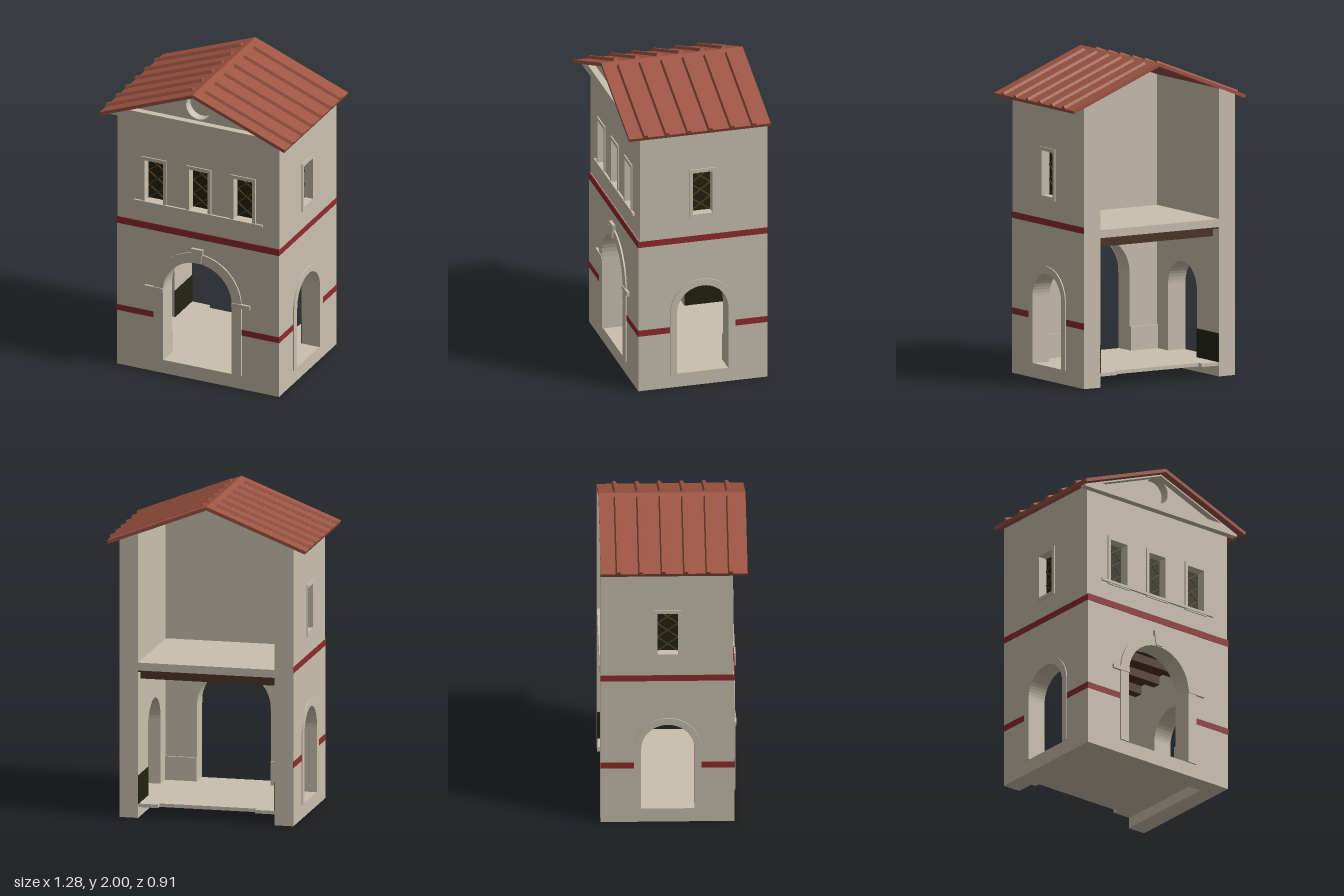
import * as THREE from 'three';

const mat = (name, color, extra = {}) => Object.assign(new THREE.MeshStandardMaterial({ color, ...extra }), { name });

export function createModel() {
  const root = new THREE.Group();
  root.name = 'gatehouse';
  const plaster = mat('plaster', 0xc9c0ae);
  const redPaint = mat('red paint', 0x8f2b2c);
  const tile = mat('roof tile', 0x9e5443, { flatShading: true });
  const dark = mat('dark glass', 0x22230f);
  const bronze = mat('lattice bronze', 0x56401f);
  const timber = mat('timber', 0x4d3324);

  const add = (name, geo, m, parent = root) => {
    const mesh = new THREE.Mesh(geo, m);
    mesh.name = name;
    parent.add(mesh);
    return mesh;
  };
  const box = (name, m, x0, x1, y0, y1, z0, z1, parent) => {
    const mesh = add(name, new THREE.BoxGeometry(x1 - x0, y1 - y0, z1 - z0), m, parent);
    mesh.position.set((x0 + x1) / 2, (y0 + y1) / 2, (z0 + z1) / 2);
    return mesh;
  };
  const V = (x, y) => new THREE.Vector2(x, y);
  const poly = (...p) => p.map(([x, y]) => V(x, y));
  const rect = (x0, x1, y0, y1) => poly([x0, y0], [x1, y0], [x1, y1], [x0, y1]);
  // Arch outline from one foot over the top to the other
  const arch = (cx, r, y0, ys) => {
    const p = [V(cx + r, y0)];
    for (let i = 0; i <= 24; i++) {
      const a = (i / 24) * Math.PI;
      p.push(V(cx + r * Math.cos(a), ys + r * Math.sin(a)));
    }
    p.push(V(cx - r, y0));
    return p;
  };
  const archBand = (cx, ri, ro, y0, ys) => [...arch(cx, ro, y0, ys), ...arch(cx, ri, y0, ys).reverse()];
  const slab = (outline, holes, depth) => {
    const s = new THREE.Shape(outline);
    holes.forEach((h) => s.holes.push(new THREE.Path(h)));
    return new THREE.ExtrudeGeometry(s, { depth, bevelEnabled: false });
  };
  // Plate facing the front, between z0 and z1
  const frontPlate = (name, m, outline, holes, z0, z1) => {
    const mesh = add(name, slab(outline, holes, z1 - z0), m);
    mesh.position.z = z0;
  };
  // Plate on a side wall, outline drawn in (z, y), between |x| = a and b
  const sidePlate = (name, m, outline, holes, a, b, s) => {
    const mesh = add(name, slab(outline, holes, b - a), m);
    mesh.rotation.y = -Math.PI / 2;
    mesh.position.x = s > 0 ? b : -a;
  };

  const W = 0.555, IN = 0.435, BACK = -0.455, FI = 0.255;
  const under = (x) => 1.974 - 0.392 * Math.abs(x);

  // Lower front wall with the main archway
  frontPlate('lowerFrontWall', plaster, rect(-W, W, 0, 1.01), [arch(0, 0.235, 0.09, 0.575)], FI, 0.375);
  frontPlate('mainArchTrim', plaster, archBand(0, 0.235, 0.3, 0.09, 0.572), [], 0.375, 0.385);
  frontPlate('keystone', plaster, poly([-0.026, 0.81], [0.026, 0.81], [0.04, 0.905], [-0.04, 0.905]), [], 0.37, 0.394);
  for (const s of [-1, 1]) {
    const [a, b] = s > 0 ? [0.235, 0.36] : [-0.36, -0.235];
    box('archImpost', plaster, a, b, 0.56, 0.586, 0.37, 0.391);
  }

  // Upper front wall and gable with window niches and a round recess
  const gable = poly([-W, 1.01], [W, 1.01], [W, under(W)], [0, under(0)], [-W, under(W)]);
  const winX = [-0.305, 0, 0.305];
  const round = [];
  for (let i = 0; i < 40; i++) {
    const a = (i / 40) * Math.PI * 2;
    round.push(V(0.086 * Math.cos(a), 1.875 + 0.086 * Math.sin(a)));
  }
  frontPlate('upperFrontWall', plaster, gable,
    [...winX.map((x) => rect(x - 0.064, x + 0.064, 1.155, 1.435)), round], 0.305, 0.365);
  frontPlate('upperFrontLining', plaster, gable, [], FI, 0.305);
  frontPlate('pedimentCornice', plaster,
    poly([-0.6, 1.724], [0.6, 1.724], [0.6, 1.739], [0, 1.974], [-0.6, 1.739]),
    [poly([-0.47, 1.778], [0.47, 1.778], [0, 1.963])], 0.365, 0.408);
  box('windowSill', plaster, -0.44, 0.44, 1.138, 1.155, 0.36, 0.379);

  // Window pane and crossed lattice, facing local +z
  const windowUnit = () => {
    const g = new THREE.Group();
    g.name = 'latticeWindow';
    box('pane', dark, -0.065, 0.065, 1.15, 1.44, -0.002, 0.004, g);
    const h = 0.28 / 3, len = Math.hypot(0.128, h) - 0.006;
    for (let i = 0; i < 3; i++) {
      for (const s of [-1, 1]) {
        const bar = add('latticeBar', new THREE.BoxGeometry(len, 0.007, 0.006), bronze, g);
        bar.position.set(0, 1.155 + h * (i + 0.5), 0.008);
        bar.rotation.z = s * Math.atan2(h, 0.128);
      }
    }
    root.add(g);
    return g;
  };
  const frame = (c) => [rect(c - 0.086, c + 0.086, 1.13, 1.458), [rect(c - 0.064, c + 0.064, 1.155, 1.435)]];
  for (const x of winX) {
    windowUnit().position.set(x, 0, 0.306);
    frontPlate('windowFrame', plaster, ...frame(x), 0.365, 0.373);
  }

  // Side walls: niche layer outside, plain lining inside
  const C = -0.038;
  const sideRect = rect(BACK, FI, 0, under(W));
  const sideArch = arch(C, 0.165, 0.09, 0.505);
  for (const s of [-1, 1]) {
    sidePlate('sideWall', plaster, sideRect, [sideArch, rect(C - 0.064, C + 0.064, 1.155, 1.435)], 0.495, W, s);
    sidePlate('sideLining', plaster, sideRect, [sideArch], IN, 0.495, s);
    sidePlate('sideArchTrim', plaster, archBand(C, 0.165, 0.209, 0.09, 0.505), [], W, 0.562, s);
    sidePlate('sideWindowFrame', plaster, ...frame(C), W, 0.562, s);
    const w = windowUnit();
    w.rotation.y = (s * Math.PI) / 2;
    w.position.set(s * 0.496, 0, C);
    // Wedge closing the wall top under the roof slope
    const wedge = poly([s * IN, under(W)], [s * W, under(W)], [s * IN, under(IN)]);
    frontPlate('wallTop', plaster, wedge, [], BACK, FI);

    // Painted bands
    const band = (z0, z1, y0, y1) => sidePlate('sideBand', redPaint, rect(z0, z1, y0, y1), [], W - 0.002, W + 0.002, s);
    band(BACK, 0.377, 0.97, 1.01);
    band(BACK, C - 0.209, 0.37, 0.41);
    band(C + 0.209, 0.377, 0.37, 0.41);
    const [a, b] = s > 0 ? [0.3, W] : [-W, -0.3];
    box('frontLowBand', redPaint, a, b, 0.37, 0.41, 0.373, 0.377);

    // Dark dado behind the side arch, plain one beside the main arch
    const [d0, d1] = s > 0 ? [0.431, 0.437] : [-0.437, -0.431];
    box('darkDado', dark, d0, d1, 0.09, 0.27, BACK, C - 0.165);
    const [e0, e1] = s > 0 ? [0.235, IN] : [-IN, -0.235];
    box('frontDado', plaster, e0, e1, 0.09, 0.24, FI - 0.012, FI);
  }
  box('frontBand', redPaint, -W, W, 0.97, 1.014, 0.371, 0.378);

  // Ground floor with a shallow notch at the open back
  const floor = add('groundFloor', slab(
    poly([-IN, -FI], [IN, -FI], [IN, 0.45], [0.31, 0.45], [0.31, 0.415], [-0.31, 0.415], [-0.31, 0.45], [-IN, 0.45]),
    [], 0.022), plaster);
  floor.rotation.x = -Math.PI / 2;
  floor.position.y = 0.068;

  // Upper floor on planks and beams
  box('upperFloor', plaster, -IN, IN, 0.935, 0.985, BACK, FI);
  box('ceilingPlanks', timber, -IN, IN, 0.925, 0.935, BACK + 0.003, FI);
  for (let i = 0; i < 4; i++) {
    const z = -0.36 + i * 0.18;
    box('ceilingBeam', timber, -IN, IN, 0.87, 0.925, z - 0.028, z + 0.028);
  }

  // Gabled roof and tile ribs
  frontPlate('roof', tile, poly([-0.627, 1.727], [0, 1.973], [0.627, 1.727], [0.635, 1.747], [0, 1.996], [-0.635, 1.747]),
    [], BACK, 0.455);
  const slope = Math.atan(0.392);
  for (const s of [-1, 1]) {
    for (let i = 0; i < 6; i++) {
      const rib = add('tileRib', new THREE.CylinderGeometry(0.018, 0.018, 0.595 / Math.cos(slope), 6), tile);
      rib.rotation.z = s * (Math.PI / 2 - slope);
      rib.position.set(s * 0.3375, 1.997 - 0.392 * 0.3375, -0.345 + i * 0.139);
    }
  }
  return root;
}
